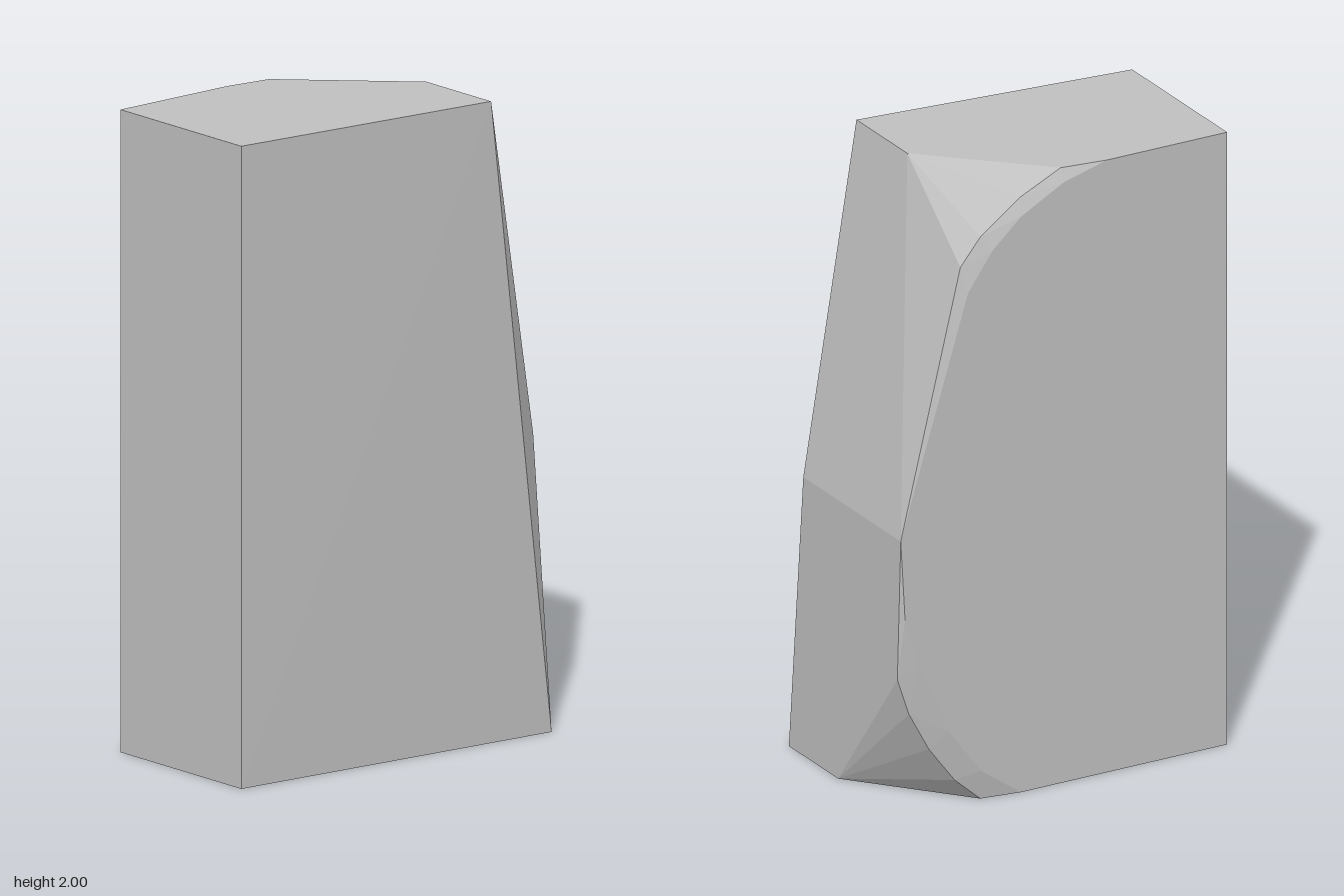
import * as THREE from 'three';
import { ConvexGeometry } from 'three/addons/geometries/ConvexGeometry.js';

// A cut stone block: straight left side, bevelled right side, rounded back corners.
export function createModel() {
  const stone = new THREE.MeshStandardMaterial({ color: 0xbfbfbf });
  stone.name = 'stoneGrey';

  const corners = [
    // left side
    [-0.57, 0, 0.23], [-0.57, 2, 0.23], [-0.57, 0, -0.33], [-0.57, 2, -0.33],
    // right side with its bend
    [0.34, 2, 0.32], [0.57, 0, 0.33], [0.57, 0.91, 0.245],
    [0.34, 2, 0.02], [0.57, 0, 0.04], [0.57, 0.91, -0.33], [0.57, 0.45, -0.31],
  ];

  // curved edge of the flat back, [x, y]
  const backEdge = [
    [-0.15, 2], [0, 1.96], [0.15, 1.88], [0.25, 1.79], [0.335, 1.67],
    [0.555, 0.65], [0.51, 0.5], [0.4, 0.25], [0.29, 0.1], [0.15, 0],
  ];
  // chipped rim just in front of the back, [x, y]
  const rim = [
    [0, 2], [0.14, 1.935], [0.28, 1.835], [0.35, 1.75],
    [0.53, 0.33], [0.46, 0.2], [0.37, 0.08], [0.28, 0],
  ];

  const points = [
    ...corners,
    ...backEdge.map(([x, y]) => [x, y, -0.33]),
    ...rim.map(([x, y]) => [x, y, -0.31]),
  ].map((p) => new THREE.Vector3(...p));

  const block = new THREE.Mesh(new ConvexGeometry(points), stone);
  block.name = 'stoneBlock';

  const group = new THREE.Group();
  group.name = 'cutStone';
  group.add(block);
  return group;
}
